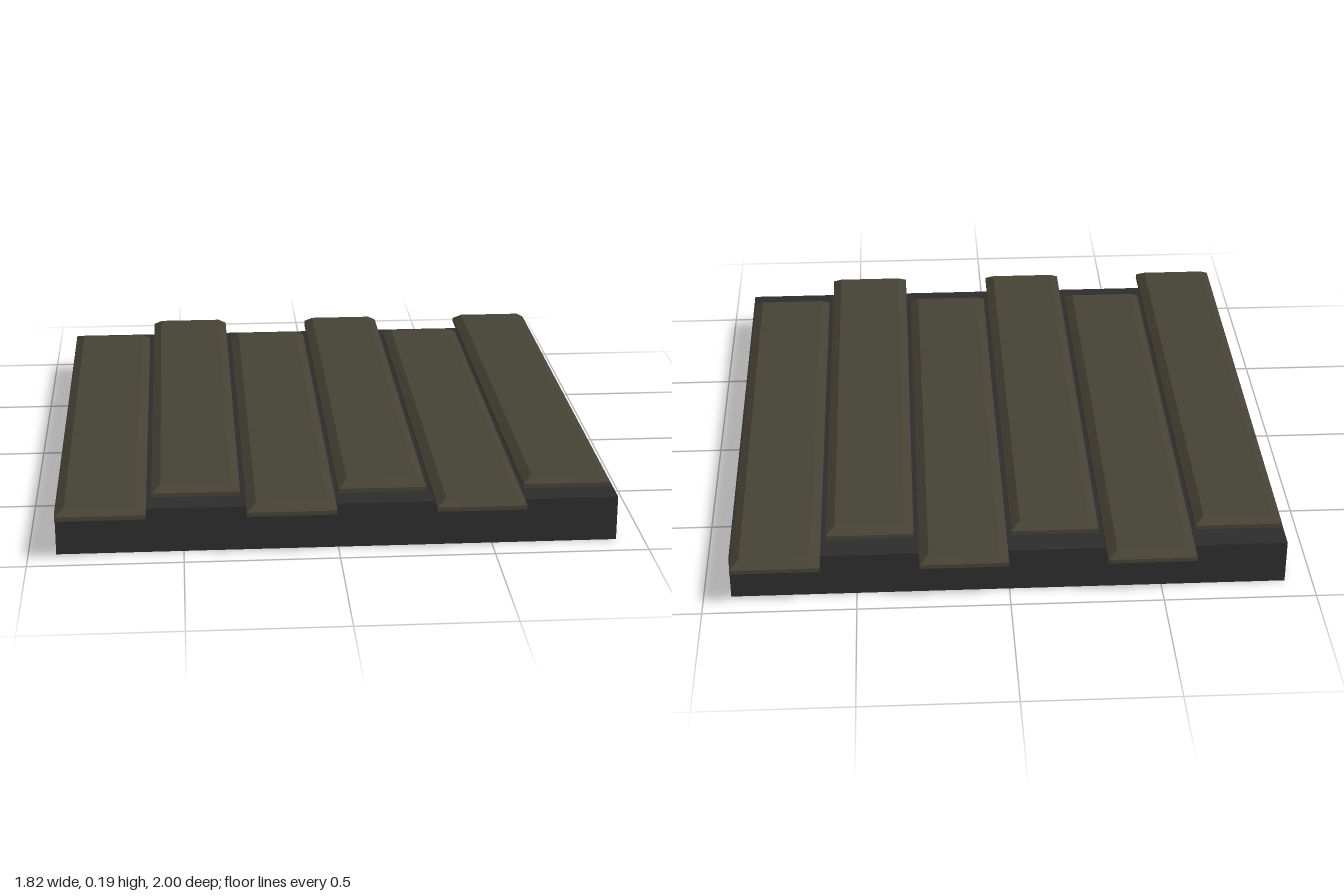
import * as THREE from 'three';

const wood = new THREE.MeshStandardMaterial({ color: 0x464235 });
wood.name = 'dark weathered wood';
wood.flatShading = true;
const charcoal = new THREE.MeshStandardMaterial({ color: 0x2d2d2d, side: THREE.DoubleSide });
charcoal.name = 'charcoal base';

const BASE_SIZE = 1.82, BASE_HEIGHT = 0.15;
const PLANK = { width: 0.288, length: 1.82, lip: 0.014, height: 0.036, bevel: 0.03 };

// Hollow tray: a box whose underside is left open
function makeBase() {
  const geometry = new THREE.BoxGeometry(BASE_SIZE, BASE_HEIGHT, BASE_SIZE);
  const { start, count } = geometry.groups[3]; // bottom face
  geometry.setIndex([...geometry.index.array].filter((_, i) => i < start || i >= start + count));
  geometry.clearGroups();
  geometry.translate(0, BASE_HEIGHT / 2, 0);
  const base = new THREE.Mesh(geometry, charcoal);
  base.name = 'base';
  return base;
}

// Plank with a short upright lip and a bevel around the top
function plankGeometry() {
  const { width, length, lip, height, bevel } = PLANK;
  const box = new THREE.BoxGeometry(width, 2, length, 1, 2, 1);
  const p = box.attributes.position;
  for (let i = 0; i < p.count; i++) {
    const level = Math.round(p.getY(i)); // -1 bottom, 0 lip, 1 top
    const inset = level === 1 ? bevel : 0;
    p.setXYZ(
      i,
      p.getX(i) - Math.sign(p.getX(i)) * inset,
      [0, lip, height][level + 1],
      p.getZ(i) - Math.sign(p.getZ(i)) * inset
    );
  }
  const geometry = box.toNonIndexed();
  geometry.clearGroups();
  geometry.computeVertexNormals();
  return geometry;
}

export function createModel() {
  const model = new THREE.Group();
  model.name = 'plankPlatform';
  model.add(makeBase());

  // Six planks, staggered alternately to the front and back
  const planks = new THREE.Group();
  planks.name = 'planks';
  const geometry = plankGeometry();
  for (let i = 0; i < 6; i++) {
    const plank = new THREE.Mesh(geometry, wood);
    plank.name = `plank${i + 1}`;
    plank.position.set((i - 2.5) * 0.304 - 0.002, BASE_HEIGHT + 0.001, i % 2 ? -0.09 : 0.09);
    planks.add(plank);
  }
  model.add(planks);
  return model;
}
